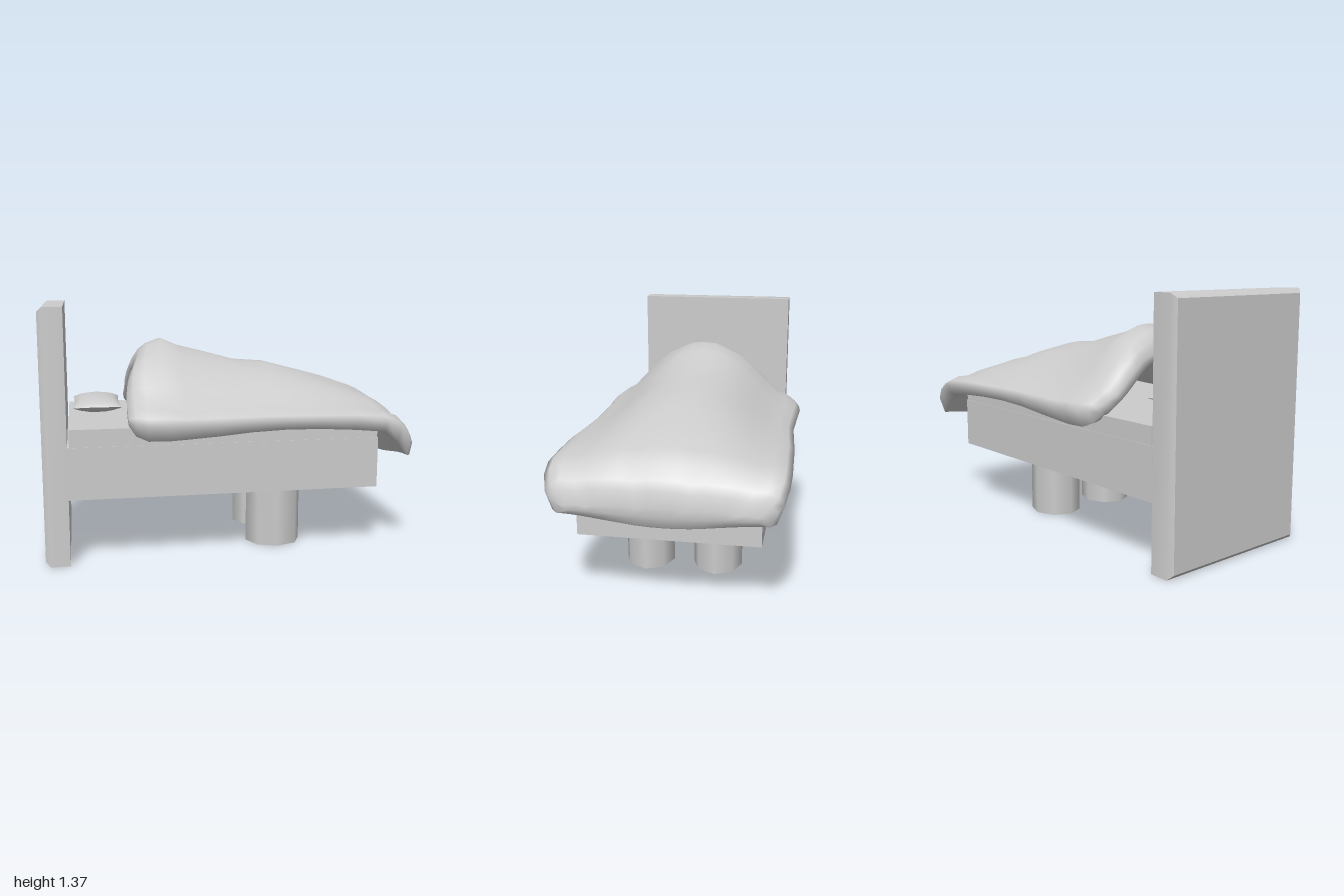
import * as THREE from 'three';

const grey = new THREE.MeshStandardMaterial({ color: 0xcccccc });

function add(group, name, geometry, x = 0, y = 0, z = 0) {
  const mesh = new THREE.Mesh(geometry, grey);
  mesh.name = name;
  mesh.position.set(x, y, z);
  group.add(mesh);
  return mesh;
}

// Box given by its limits
function block(group, name, x0, x1, y0, y1, z0, z1) {
  return add(group, name, new THREE.BoxGeometry(x1 - x0, y1 - y0, z1 - z0),
    (x0 + x1) / 2, (y0 + y1) / 2, (z0 + z1) / 2);
}

// Headboard with the rim of its rear face chamfered
function headboardGeometry() {
  const w = 0.13, h = 1.365, d = 0.955, c = 0.025;
  const g = new THREE.BoxGeometry(w, h, d, 2, 1, 1);
  const p = g.attributes.position;
  for (let i = 0; i < p.count; i++) {
    const x = p.getX(i);
    if (Math.abs(x) < 0.001) p.setX(i, -w / 2 + c);
    if (x < -0.01) {
      p.setY(i, Math.sign(p.getY(i)) * (h / 2 - c));
      p.setZ(i, Math.sign(p.getZ(i)) * (d / 2 - c));
    }
  }
  g.computeVertexNormals();
  return g;
}

// Cushion: two domed grids meeting at a rim, with corners drawn outwards
function pillowGeometry() {
  const n = 8, pos = [], idx = [];
  for (const side of [1, -1]) {
    const base = pos.length / 3;
    for (let i = 0; i <= n; i++) for (let j = 0; j <= n; j++) {
      const u = Math.sin((i / n - 0.5) * Math.PI), v = Math.sin((j / n - 0.5) * Math.PI);
      const dome = Math.sqrt(Math.max(0, (1 - u * u) * (1 - v * v)));
      pos.push(0.124 * u * (1 + 0.08 * v * v), side * 0.05 * dome, 0.208 * v * (1 + 0.08 * u * u));
    }
    for (let i = 0; i < n; i++) for (let j = 0; j < n; j++) {
      const a = base + i * (n + 1) + j, b = a + n + 1;
      if (side > 0) idx.push(a, a + 1, b, b, a + 1, b + 1);
      else idx.push(a, b, a + 1, b, b + 1, a + 1);
    }
  }
  const g = new THREE.BufferGeometry();
  g.setAttribute('position', new THREE.Float32BufferAttribute(pos, 3));
  g.setIndex(idx);
  g.computeVertexNormals();
  return g;
}

// Quilt cross-sections: x, ridge top, shoulder, ridge underside, edge bottom, half width, seam
const stations = [
  [-0.48, 1.04, 0.79, 0.99, 0.75, 0.52, 0],
  [-0.455, 1.10, 0.81, 0.99, 0.70, 0.56, 0],
  [-0.41, 1.135, 0.81, 1.03, 0.675, 0.585, 0],
  [-0.33, 1.165, 0.81, 1.07, 0.675, 0.595, 0],
  [-0.24, 1.135, 0.80, 1.04, 0.68, 0.59, 1],
  [-0.08, 1.085, 0.80, 1.00, 0.69, 0.585, 0],
  [0.10, 1.045, 0.80, 0.95, 0.705, 0.58, 1],
  [0.28, 1.02, 0.80, 0.93, 0.715, 0.59, 0],
  [0.47, 0.98, 0.80, 0.89, 0.715, 0.605, 1],
  [0.65, 0.92, 0.80, 0.82, 0.705, 0.61, 0],
  [0.82, 0.86, 0.79, 0.74, 0.69, 0.615, 0],
  [0.90, 0.81, 0.765, 0.62, 0.63, 0.61, 0],
  [0.96, 0.735, 0.71, 0.49, 0.55, 0.59, 0],
  [0.985, 0.69, 0.67, 0.505, 0.545, 0.56, 0],
  [1.0, 0.61, 0.60, 0.56, 0.57, 0.50, 0],
];

function quiltGeometry() {
  const half = [1, 0.95, 0.86, 0.75, 0.63, 0.5, 0.37, 0.25, 0.12];
  const vs = [...half, 0, ...half.map((v) => -v).reverse()];
  const n = vs.length, loop = 2 * n, pos = [], idx = [];
  const bell = (v) => 0.5 * (1 + Math.cos(Math.PI * Math.pow(Math.abs(v), 1.2)));
  const push = (x, y, z) => {
    // Head edge bows towards the headboard on both sides
    const fall = THREE.MathUtils.clamp((-0.3 - x) / 0.18, 0, 1);
    const bow = THREE.MathUtils.smoothstep(Math.abs(z), 0, 0.35) * (z > 0 ? 0.07 : 0.04);
    pos.push(x - fall * bow, y, z);
  };
  for (const [x, top, shoulder, under, bottom, w, seam] of stations) {
    for (const v of vs) {
      const a = Math.abs(v);
      let y = shoulder + (top - shoulder) * bell(v);
      if (a === 1) y = shoulder * 0.6 + bottom * 0.4;
      else if (a === 0.95) y -= (shoulder - bottom) * 0.15;
      else if (seam || a === 0.25 || a === 0.75) y -= 0.01;
      push(x, y, v * w);
    }
    for (const v of [...vs].reverse()) {
      push(x, bottom + (under - bottom) * bell(v), v * w * 0.94);
    }
  }
  const last = (stations.length - 1) * loop;
  for (let i = 0; i < stations.length - 1; i++) for (let j = 0; j < loop; j++) {
    const a = i * loop + j, c = i * loop + (j + 1) % loop;
    idx.push(a, a + loop, c, a + loop, c + loop, c);
  }
  // Close the head and foot rims
  for (let j = 0; j < n - 1; j++) {
    const k = loop - 1 - j;
    idx.push(j, j + 1, k, j + 1, k - 1, k);
    idx.push(last + j, last + k, last + j + 1, last + j + 1, last + k, last + k - 1);
  }
  const g = new THREE.BufferGeometry();
  g.setAttribute('position', new THREE.Float32BufferAttribute(pos, 3));
  g.setIndex(idx);
  g.computeVertexNormals();
  return g;
}

export function createModel() {
  const bed = new THREE.Group();
  bed.name = 'bed';

  add(bed, 'headboard', headboardGeometry(), -0.935, 0.6825, 0.003);
  block(bed, 'frame', -0.87, 0.82, 0.36, 0.64, -0.475, 0.48);
  block(bed, 'mattress', -0.86, 0.815, 0.64, 0.735, -0.472, 0.477);

  // Pair of stout legs near the foot
  for (const z of [0.212, -0.182]) {
    const leg = add(bed, z > 0 ? 'frontLeg' : 'backLeg',
      new THREE.CylinderGeometry(1, 1, 0.36, 8), 0.29, 0.18, z);
    leg.scale.set(0.157, 1, 0.139);
  }

  add(bed, 'pillow', pillowGeometry(), -0.7, 0.805, 0);
  add(bed, 'quilt', quiltGeometry());
  return bed;
}
